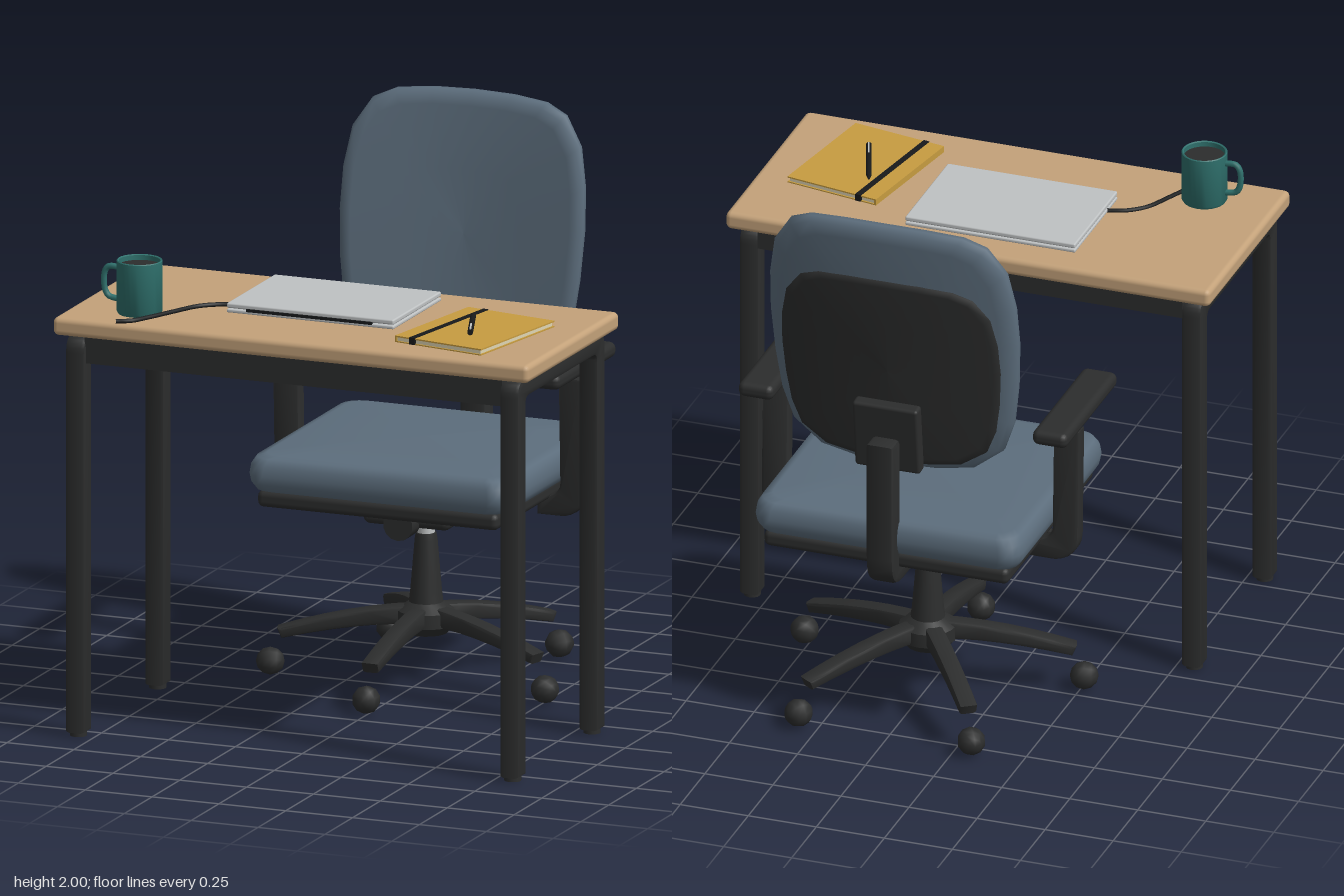
import * as THREE from 'three';
import { RoundedBoxGeometry } from 'three/addons/geometries/RoundedBoxGeometry.js';
import { toCreasedNormals } from 'three/addons/utils/BufferGeometryUtils.js';

const mat = (name, color, side = THREE.FrontSide) => {
  const m = new THREE.MeshStandardMaterial({ color, side });
  m.name = name;
  return m;
};

export function createModel() {
  const wood = mat('wood', 0xc4a27a), black = mat('blackPlastic', 0x2c2d2d), fabric = mat('blueFabric', 0x5c6d7c);
  const silver = mat('silver', 0xbfc2c3), white = mat('drawerWhite', 0xd2d0d2), teal = mat('tealGlaze', 0x2f716d, THREE.DoubleSide);
  const mustard = mat('mustard', 0xc79c40), cream = mat('paper', 0xe0d6b4), ink = mat('ink', 0x181a1b);

  const root = new THREE.Group();
  const desk = new THREE.Group(), chair = new THREE.Group(), items = new THREE.Group();
  desk.name = 'desk'; chair.name = 'chair'; items.name = 'deskItems';
  root.add(desk, chair, items);

  const add = (parent, name, geo, material, x = 0, y = 0, z = 0) => {
    const m = new THREE.Mesh(geo, material);
    m.name = name;
    m.position.set(x, y, z);
    parent.add(m);
    return m;
  };
  // Box given by its limits, with optional rounded edges
  const box = (parent, name, material, [x0, x1], [y0, y1], [z0, z1], r = 0) => {
    const s = [x1 - x0, y1 - y0, z1 - z0];
    const g = r ? new RoundedBoxGeometry(...s, 2, r) : new THREE.BoxGeometry(...s);
    return add(parent, name, g, material, (x0 + x1) / 2, (y0 + y1) / 2, (z0 + z1) / 2);
  };
  // Bevelled plate of a given total thickness, centred on its plane
  const plate = (shape, depth, b = 0.01) => {
    const g = new THREE.ExtrudeGeometry(shape, {
      depth: depth - 2 * b, bevelThickness: b, bevelSize: b, bevelOffset: -b, bevelSegments: 2, curveSegments: 6,
    });
    return toCreasedNormals(g.translate(0, 0, b - depth / 2), 0.6);
  };
  // Same plate, with the profile in the z-y plane
  const sidePlate = (shape, depth, b) => plate(shape, depth, b).rotateY(-Math.PI / 2);
  // Closed cushion: scaled copies of an outline at given heights, placed by a rule
  const cushion = (outline, rings, place) => {
    const pos = [], idx = [], n = outline.length;
    for (const [s, h] of rings) for (const [u, v] of outline) pos.push(...place(u * s, v * s, h));
    for (let r = 0; r < rings.length - 1; r++) for (let i = 0; i < n; i++) {
      const a = r * n + i, b = r * n + (i + 1) % n;
      idx.push(a, b, b + n, a, b + n, a + n);
    }
    const g = new THREE.BufferGeometry();
    g.setAttribute('position', new THREE.Float32BufferAttribute(pos, 3));
    g.setIndex(idx);
    g.computeVertexNormals();
    return g;
  };
  const mirrorOutline = half => [...half, ...half.slice().reverse().filter(p => p[0] > 0).map(([u, v]) => [-u, v])];

  // Desk: top, two looped leg frames, aprons and drawer
  box(desk, 'deskTop', wood, [-0.89, 0.89], [1.43, 1.495], [0.03, 0.86], 0.02);
  const frame = new THREE.Shape();
  frame.moveTo(0.057, 0.015).lineTo(0.057, 1.37).quadraticCurveTo(0.057, 1.43, 0.117, 1.43);
  frame.lineTo(0.785, 1.43).quadraticCurveTo(0.845, 1.43, 0.845, 1.37).lineTo(0.845, 0.015).lineTo(0.771, 0.015);
  frame.lineTo(0.771, 1.33).quadraticCurveTo(0.771, 1.36, 0.741, 1.36).lineTo(0.161, 1.36);
  frame.quadraticCurveTo(0.131, 1.36, 0.131, 1.33).lineTo(0.131, 0.015);
  for (const s of [-1, 1]) {
    add(desk, 'legFrame', sidePlate(frame, 0.074, 0.014), black, s * 0.812);
    for (const z of [0.094, 0.808]) add(desk, 'foot', new THREE.CylinderGeometry(0.03, 0.03, 0.03, 12), black, s * 0.812, 0.015, z);
  }
  box(desk, 'frontApron', black, [-0.78, 0.78], [1.335, 1.43], [0.785, 0.83]);
  box(desk, 'backApron', black, [-0.78, 0.78], [1.36, 1.43], [0.06, 0.1]);
  box(desk, 'drawer', white, [0.04, 0.76], [1.322, 1.425], [0.13, 0.69]);
  add(desk, 'drawerKnob', new THREE.SphereGeometry(0.019, 12, 8), black, 0.39, 1.37, 0.03);
  add(desk, 'knobStem', new THREE.CylinderGeometry(0.01, 0.01, 0.04, 10).rotateX(Math.PI / 2), black, 0.39, 1.37, 0.05);

  // Chair base: hub, gas column, five arms with casters
  const cz = -0.367;
  const hub = [[0, 0.17], [0.075, 0.17], [0.1, 0.2], [0.1, 0.25], [0.06, 0.28], [0.055, 0.32], [0.04, 0.5], [0.036, 0.525], [0, 0.525]];
  add(chair, 'hubAndSleeve', toCreasedNormals(new THREE.LatheGeometry(hub.map(p => new THREE.Vector2(...p)), 20), 0.6), black, 0, 0, cz);
  add(chair, 'gasColumn', new THREE.CylinderGeometry(0.03, 0.03, 0.12, 16), silver, 0, 0.56, cz);
  const arm = new THREE.Shape();
  arm.moveTo(0.04, 0.2).quadraticCurveTo(0.22, 0.205, 0.5, 0.142).lineTo(0.515, 0.178);
  arm.quadraticCurveTo(0.27, 0.255, 0.04, 0.27);
  for (let i = 0; i < 5; i++) {
    const a = -Math.PI / 2 + i * Math.PI * 0.4;
    add(chair, 'baseArm', plate(arm, 0.066, 0.012), black, 0, 0, cz).rotation.y = a;
    const c = add(chair, 'caster', new THREE.SphereGeometry(0.05, 10, 6).rotateZ(Math.PI / 2), black, 0.54 * Math.cos(a), 0.055, cz - 0.54 * Math.sin(a));
    c.rotation.y = a;
  }

  // Seat mechanism, tension knob and height lever
  box(chair, 'mechanism', black, [-0.16, 0.165], [0.585, 0.67], [-0.56, -0.17], 0.025);
  box(chair, 'mechanismMount', black, [-0.2, 0.2], [0.64, 0.7], [-0.58, -0.18]);
  add(chair, 'tensionKnob', new THREE.CylinderGeometry(0.055, 0.055, 0.075, 14).rotateX(Math.PI / 2), black, 0, 0.608, -0.149);
  add(chair, 'leverRod', new THREE.CylinderGeometry(0.01, 0.01, 0.3, 8).rotateZ(Math.PI / 2), black, -0.28, 0.642, -0.3);
  const paddle = box(chair, 'leverPaddle', black, [-0.52, -0.4], [0.617, 0.64], [-0.33, -0.27], 0.01);
  paddle.rotation.z = 0.12;

  // Seat pan and cushion
  const rectOutline = (w, d, r) => {
    const pts = [];
    for (let k = 0; k < 4; k++) for (let j = 0; j <= 4; j++) {
      const a = (k + j / 4) * Math.PI / 2, sx = k === 0 || k === 3 ? 1 : -1, sy = k < 2 ? 1 : -1;
      pts.push([sx * (w - r) + r * Math.cos(a), sy * (d - r) + r * Math.sin(a)]);
    }
    return pts;
  };
  const flat = (u, v, h) => [u, h, -0.36 - v];
  box(chair, 'seatPan', black, [-0.45, 0.45], [0.675, 0.735], [-0.8, 0.08], 0.022);
  add(chair, 'seatCushion', cushion(rectOutline(0.49, 0.46, 0.07),
    [[0, 0.725], [0.9, 0.725], [0.96, 0.735], [0.99, 0.76], [1, 0.79], [0.99, 0.825], [0.96, 0.85], [0.9, 0.858], [0.5, 0.867], [0, 0.87]], flat), fabric);

  // Backrest: leaning back, with its sides wrapped forward
  const backPlace = cy => (u, v, h) => [u, cy + v, -0.68 - 0.128 * (cy + v - 1.03) + 0.05 * (u / 0.45) ** 2 + h];
  const backOutline = mirrorOutline([[0, -0.49], [0.15, -0.485], [0.28, -0.465], [0.385, -0.385], [0.425, -0.27], [0.445, -0.12], [0.455, 0.05],
    [0.45, 0.2], [0.425, 0.34], [0.36, 0.44], [0.28, 0.475], [0.15, 0.487], [0, 0.49]]);
  add(chair, 'backCushion', cushion(backOutline,
    [[0, -0.04], [0.45, -0.04], [0.88, -0.04], [0.97, -0.03], [1, -0.008], [1, 0.012], [0.97, 0.033], [0.9, 0.04], [0.45, 0.04], [0, 0.04]], backPlace(1.51)), fabric);
  add(chair, 'backShell', cushion(backOutline.map(([u, v]) => [u * 0.88, v * 0.75]),
    [[0, -0.05], [0.5, -0.05], [0.94, -0.05], [1, -0.044], [1, -0.03]], backPlace(1.42)), black);

  // Back support: curved spine and bracket
  const spine = new THREE.Shape();
  spine.moveTo(-0.45, 0.61).lineTo(-0.75, 0.61).quadraticCurveTo(-0.865, 0.61, -0.865, 0.73).lineTo(-0.865, 1.17);
  spine.lineTo(-0.78, 1.17).lineTo(-0.78, 0.74).quadraticCurveTo(-0.78, 0.68, -0.72, 0.68).lineTo(-0.45, 0.68);
  add(chair, 'backSpine', sidePlate(spine, 0.1, 0.015), black);
  const bracket = box(chair, 'backBracket', black, [-0.12, 0.12], [1.04, 1.3], [-0.795, -0.745], 0.012);
  bracket.rotation.x = -0.12;

  // Armrests
  for (const s of [-1, 1]) {
    const sh = new THREE.Shape();
    sh.moveTo(s * 0.4, 0.622).lineTo(s * 0.5, 0.622).quadraticCurveTo(s * 0.582, 0.64, s * 0.582, 0.72).lineTo(s * 0.582, 1.122);
    sh.lineTo(s * 0.487, 1.122).lineTo(s * 0.487, 0.74).quadraticCurveTo(s * 0.487, 0.69, s * 0.4, 0.685);
    add(chair, 'armSupport', plate(sh, 0.062), black, 0, 0, -0.45).rotation.x = 0.035;
    box(chair, 'armPad', black, [s * 0.54 - 0.065, s * 0.54 + 0.065], [1.147, 1.203], [-0.635, -0.103], 0.024);
  }

  // Closed laptop and its cable
  box(items, 'laptopBase', silver, [-0.355, 0.27], [1.498, 1.511], [0.145, 0.578], 0.005);
  box(items, 'laptopGap', ink, [-0.28, 0.19], [1.508, 1.518], [0.16, 0.583]);
  box(items, 'laptopLid', silver, [-0.355, 0.27], [1.514, 1.532], [0.145, 0.578], 0.006);
  const cablePath = [[-0.35, 0.48], [-0.41, 0.5], [-0.47, 0.55], [-0.52, 0.65], [-0.57, 0.76], [-0.61, 0.83], [-0.655, 0.852]];
  const cable = new THREE.CatmullRomCurve3(cablePath.map(([x, z]) => new THREE.Vector3(x, 1.503, z)));
  add(items, 'cable', new THREE.TubeGeometry(cable, 28, 0.008, 6), ink);

  // Mug with handle and coffee
  const mug = new THREE.Group();
  mug.name = 'mug';
  mug.position.set(-0.635, 1.495, 0.685);
  items.add(mug);
  const cup = [[0, 0], [0.074, 0], [0.08, 0.01], [0.08, 0.187], [0.077, 0.19], [0.072, 0.187], [0.072, 0.16]];
  add(mug, 'cup', toCreasedNormals(new THREE.LatheGeometry(cup.map(p => new THREE.Vector2(...p)), 28), 0.6), teal);
  add(mug, 'coffee', new THREE.CylinderGeometry(0.073, 0.073, 0.01, 28), black, 0, 0.165, 0);
  const handle = [[-0.075, 0.155], [-0.115, 0.155], [-0.13, 0.135], [-0.13, 0.075], [-0.115, 0.05], [-0.075, 0.042]];
  const handleCurve = new THREE.CatmullRomCurve3(handle.map(([x, y]) => new THREE.Vector3(x, y, 0)));
  add(mug, 'handle', new THREE.TubeGeometry(handleCurve, 20, 0.011, 8), teal);

  // Notebook with strap, and a pen lying on it
  const book = new THREE.Group();
  book.name = 'notebook';
  book.position.set(0.55, 1.495, 0.52);
  book.rotation.y = -0.177;
  items.add(book);
  box(book, 'backCover', mustard, [-0.176, 0.176], [0, 0.004], [-0.235, 0.235]);
  box(book, 'pages', cream, [-0.17, 0.17], [0.004, 0.018], [-0.229, 0.229]);
  box(book, 'frontCover', mustard, [-0.176, 0.176], [0.018, 0.023], [-0.235, 0.235]);
  box(book, 'bookSpine', mustard, [-0.177, -0.17], [0, 0.023], [-0.235, 0.235]);
  box(book, 'strap', ink, [-0.117, -0.095], [-0.0005, 0.025], [-0.237, 0.237]);
  const pen = new THREE.Group();
  pen.name = 'pen';
  pen.position.set(0.531, 1.529, 0.5);
  pen.rotation.y = 0.348;
  items.add(pen);
  add(pen, 'penBarrel', new THREE.CylinderGeometry(0.01, 0.01, 0.23, 10).rotateX(Math.PI / 2), ink, 0, 0, 0.016);
  add(pen, 'penTip', new THREE.CylinderGeometry(0.01, 0.003, 0.034, 10).rotateX(Math.PI / 2), ink, 0, 0, -0.115);
  box(pen, 'penClip', silver, [-0.003, 0.003], [0.009, 0.013], [0.05, 0.125]);
  return root;
}
